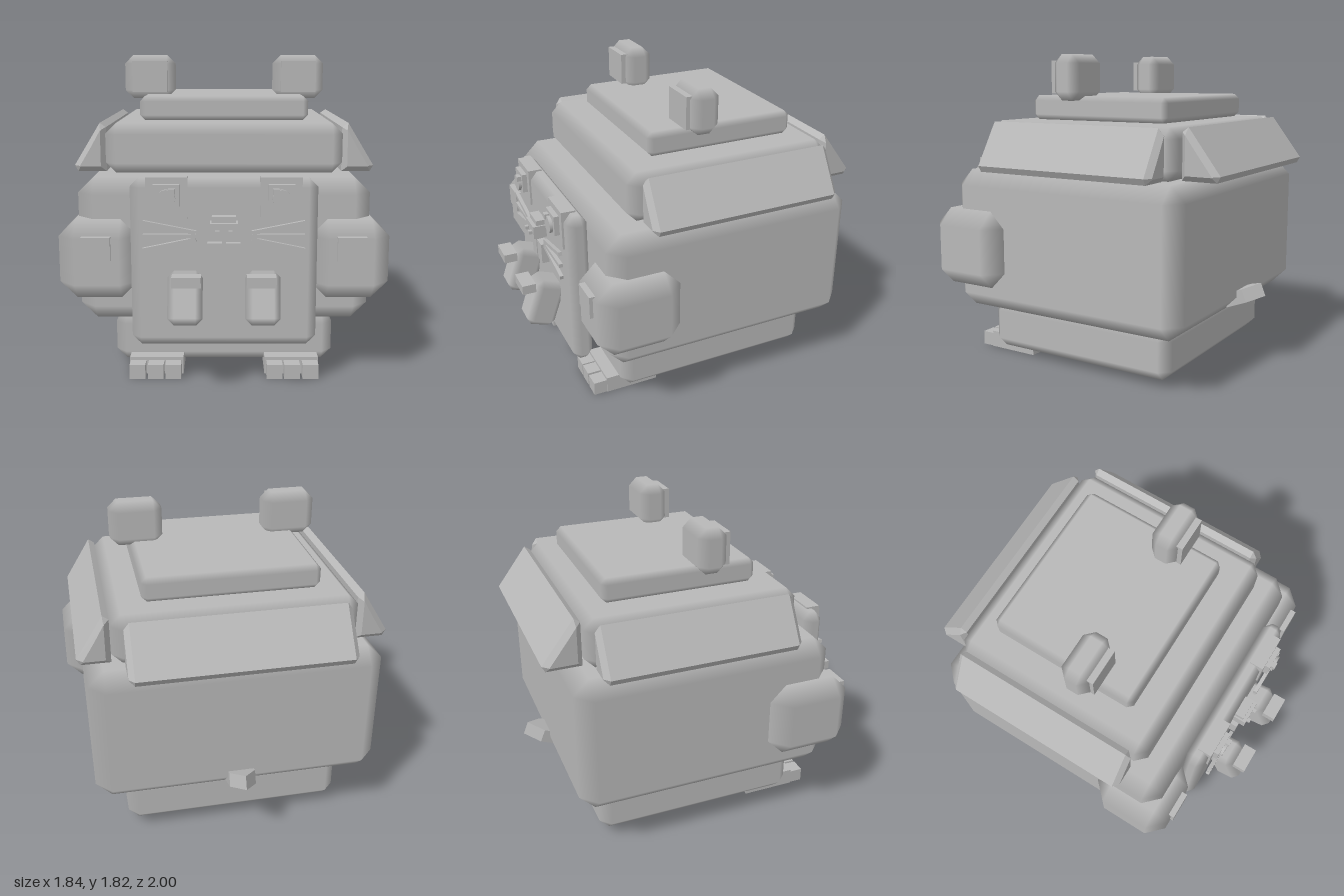
import * as THREE from 'three';
import { ConvexGeometry } from 'three/addons/geometries/ConvexGeometry.js';

export function createModel() {
  const model = new THREE.Group();
  model.name = 'blockyAnimal';
  const grey = new THREE.MeshStandardMaterial({ name: 'grey', color: 0xb8b8b8 });

  function add(name, geometry, x = 0, y = 0, z = 0) {
    const mesh = new THREE.Mesh(geometry, grey);
    mesh.name = name;
    mesh.position.set(x, y, z);
    model.add(mesh);
    return mesh;
  }

  // Chamfered box: flat main faces, softly shaded bevels
  function chamfer(w, h, d, bx, by = bx, bz = bx) {
    const X = w / 2, Y = h / 2, Z = d / 2, points = [];
    for (const i of [-1, 1]) for (const j of [-1, 1]) for (const k of [-1, 1]) {
      points.push(
        new THREE.Vector3(i * X, j * (Y - by), k * (Z - bz)),
        new THREE.Vector3(i * (X - bx), j * Y, k * (Z - bz)),
        new THREE.Vector3(i * (X - bx), j * (Y - by), k * Z));
    }
    const g = new ConvexGeometry(points);
    const p = g.attributes.position, n = g.attributes.normal;
    for (let i = 0; i < p.count; i++) {
      const r = [p.getX(i) / X, p.getY(i) / Y, p.getZ(i) / Z];
      const a = r.map(Math.abs), axis = a.indexOf(Math.max(...a));
      n.setXYZ(i, ...r.map((v, q) => (q === axis ? Math.sign(v) : 0)));
    }
    return g;
  }

  // Boxes given by their limits on each axis
  const mid = (r) => (r[0] + r[1]) / 2;
  const len = (r) => r[1] - r[0];
  const block = (name, x, y, z, ...bevel) => add(name,
    bevel.length ? chamfer(len(x), len(y), len(z), ...bevel)
      : new THREE.BoxGeometry(len(x), len(y), len(z)), mid(x), mid(y), mid(z));
  function pair(name, x, y, z, ...bevel) {
    block(name + 'Left', x, y, z, ...bevel);
    block(name + 'Right', [-x[1], -x[0]], y, z, ...bevel);
  }

  // Stacked body
  block('base', [-0.635, 0.635], [0.045, 0.335], [-0.7, 0.53], 0.06);
  block('body', [-0.82, 0.82], [0.335, 1.155], [-0.85, 0.66], 0.09);
  block('upperTier', [-0.68, 0.68], [1.155, 1.44], [-0.75, 0.49], 0.06);
  block('topTier', [-0.495, 0.495], [1.445, 1.585], [-0.6, 0.3], 0.03);

  // Sloping flaps on both sides and the back
  function flap(name, width, length, yaw, x, z) {
    const s = new THREE.Shape();
    s.moveTo(0, 0);
    s.lineTo(width - 0.02, 0);
    s.lineTo(width, 0.035);
    s.lineTo(0.035, 0.28);
    s.lineTo(0, 0.255);
    s.closePath();
    const g = new THREE.ExtrudeGeometry(s, {
      depth: length - 0.06, bevelThickness: 0.03, bevelSize: 0.03, bevelOffset: -0.03, bevelSegments: 1 });
    g.translate(0, 0, -length / 2 + 0.03);
    add(name, g, x, 1.16, z).rotation.y = yaw;
  }
  flap('flapLeft', 0.185, 1.14, 0, 0.68, -0.14);
  flap('flapRight', 0.185, 1.14, Math.PI, -0.68, -0.14);
  flap('flapBack', 0.22, 1.23, Math.PI / 2, 0, -0.75);

  // Ears with inner plates
  pair('ear', [0.3, 0.605], [1.56, 1.82], [-0.085, 0.085], 0.05);
  pair('innerEar', [0.345, 0.555], [1.6, 1.785], [0.06, 0.108]);

  // Arms with front plates
  pair('arm', [0.48, 0.92], [0.48, 0.93], [0.265, 0.755], 0.095);
  pair('armPlate', [0.62, 0.78], [0.72, 0.85], [0.74, 0.775]);

  // Feet and toes
  pair('foot', [0.235, 0.545], [0, 0.1], [0.285, 0.605]);
  for (const x of [0.245, 0.345, 0.45]) pair('toe', [x, x + 0.09], [0, 0.083], [0.6, 0.685]);

  // Face panel
  block('facePanel', [-0.51, 0.51], [0.235, 1.175], [0.66, 0.778], 0.05, 0.05, 0.04);

  // Eyes: socket, plate, pupil and glint
  pair('eyeSocket', [0.195, 0.42], [0.96, 1.185], [0.705, 0.79]);
  pair('eyePlate', [0.238, 0.38], [1.032, 1.148], [0.78, 0.82]);
  pair('eyeGlint', [0.26, 0.295], [1.1, 1.13], [0.81, 0.846]);
  for (const s of [-1, 1]) {
    const pupil = new THREE.CylinderGeometry(0.05, 0.05, 0.03, 16);
    pupil.rotateX(Math.PI / 2);
    add('pupil', pupil, s * 0.308, 1.075, 0.823);
  }

  // Nose and teeth
  block('nose', [-0.075, 0.075], [0.87, 0.947], [0.77, 0.857]);
  block('noseBridge', [-0.065, 0.065], [0.945, 0.978], [0.77, 0.835]);
  pair('nostril', [0.024, 0.046], [0.89, 0.91], [0.85, 0.877]);
  pair('tooth', [0.01, 0.09], [0.705, 0.83], [0.77, 0.822]);

  // Whiskers fan out from beside the nose
  for (const s of [-1, 1]) for (const [y0, y1] of [[0.888, 0.945], [0.87, 0.87], [0.852, 0.793]]) {
    const length = Math.hypot(0.285, y1 - y0);
    add('whisker', new THREE.BoxGeometry(length, 0.022, 0.022), s * 0.293, (y0 + y1) / 2, 0.812)
      .rotation.z = s * Math.atan2(y1 - y0, 0.285);
  }

  // Tilted paws with a block above each
  for (const s of [-1, 1]) {
    add('paw', chamfer(0.185, 0.29, 0.175, 0.035), s * 0.208, 0.54, 0.867).rotation.x = -0.34;
  }
  pair('pawBlock', [0.12, 0.274], [0.635, 0.69], [0.92, 1]);

  // Pointed tail, tipped upwards
  const t = new THREE.Shape();
  t.moveTo(-0.075, -0.06);
  t.lineTo(0.075, -0.06);
  t.lineTo(0.075, 0.07);
  t.lineTo(0, 0.165);
  t.lineTo(-0.075, 0.07);
  t.closePath();
  const tail = new THREE.ExtrudeGeometry(t, { depth: 0.08, bevelEnabled: false });
  tail.translate(0, 0, -0.04);
  add('tail', tail, 0, 0.415, -0.83).rotation.x = -Math.PI / 2 + 0.38;

  return model;
}
